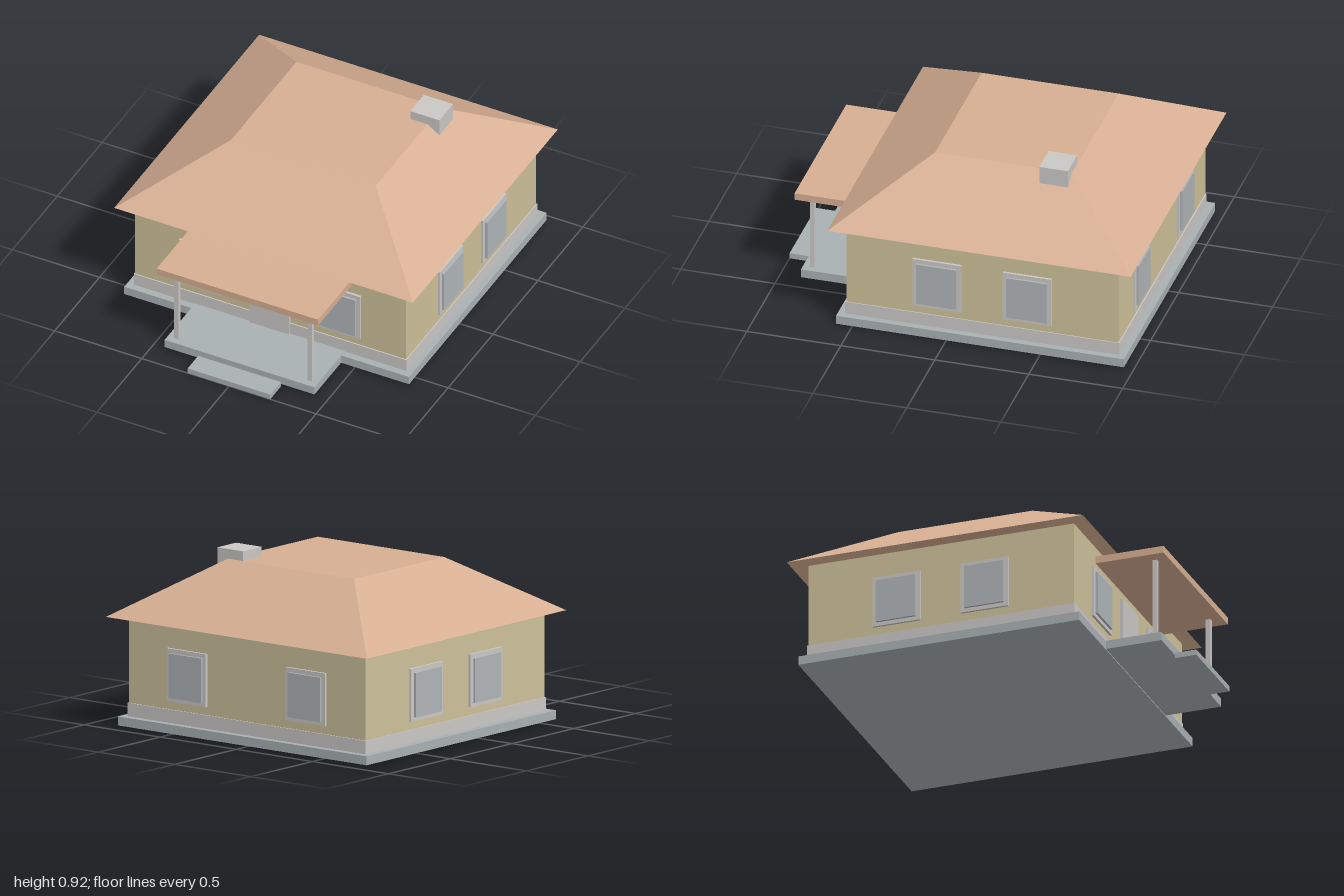
import * as THREE from 'three';

function mat(name, color, side = THREE.FrontSide) {
  const m = new THREE.MeshStandardMaterial({ color, side });
  m.name = name;
  return m;
}

export function createModel() {
  const house = new THREE.Group();
  house.name = 'house';
  const wall = mat('cream wall', 0xcdc19a);
  const tile = mat('terracotta', 0xd6ae92);
  const roofTile = mat('terracotta', 0xd6ae92, THREE.DoubleSide);
  const trim = mat('light grey trim', 0xcac8c5);
  const concrete = mat('concrete', 0xa9b0b3);
  const glass = mat('window glass', 0xafb4b8);
  const brass = mat('door knob', 0xb5714f);

  // Box given by its extents along x, y and z
  const box = (name, m, [x0, x1], [y0, y1], [z0, z1], parent = house) => {
    const mesh = new THREE.Mesh(new THREE.BoxGeometry(x1 - x0, y1 - y0, z1 - z0), m);
    mesh.position.set((x0 + x1) / 2, (y0 + y1) / 2, (z0 + z1) / 2);
    mesh.name = name;
    parent.add(mesh);
    return mesh;
  };

  // Foundation and walls
  box('foundation', concrete, [-0.817, 0.817], [0.013, 0.06], [-0.952, 0.58]);
  box('plinth', trim, [-0.782, 0.782], [0.06, 0.13], [-0.917, 0.542]);
  box('walls', wall, [-0.777, 0.777], [0.06, 0.58], [-0.911, 0.536]);

  // Hipped roof with flat top and open underside
  const ring = (x, y, z0, z1) => [[-x, y, z1], [x, y, z1], [x, y, z0], [-x, y, z0]];
  const eave = ring(0.857, 0.58, -1, 0.615);
  const deck = ring(0.415, 0.87, -0.557, 0.172);
  const pos = [];
  const quad = (a, b, c, d) => pos.push(...a, ...b, ...c, ...a, ...c, ...d);
  for (let i = 0; i < 4; i++) {
    const j = (i + 1) % 4;
    quad(eave[i], eave[j], deck[j], deck[i]);
  }
  quad(...deck);
  const roofGeo = new THREE.BufferGeometry();
  roofGeo.setAttribute('position', new THREE.Float32BufferAttribute(pos, 3));
  roofGeo.computeVertexNormals();
  const roof = new THREE.Mesh(roofGeo, roofTile);
  roof.name = 'roof';
  house.add(roof);
  box('chimney', trim, [0.318, 0.485], [0.76, 0.92], [-0.555, -0.403]);

  // Windows: a raised pane on a wider frame, facing outward
  const addWindow = (x, z, turn) => {
    const g = new THREE.Group();
    g.name = 'window';
    box('windowFrame', trim, [-0.129, 0.129], [0.173, 0.449], [-0.01, 0.013], g);
    box('windowPane', glass, [-0.107, 0.107], [0.194, 0.426], [-0.01, 0.025], g);
    g.position.set(x, 0, z);
    g.rotation.y = turn;
    house.add(g);
  };
  for (const s of [-1, 1]) {
    addWindow(s * 0.391, 0.536, 0);
    addWindow(s * 0.391, -0.911, Math.PI);
    for (const z of [0.053, -0.428]) addWindow(s * 0.777, z, s * Math.PI / 2);
  }

  // Door
  box('door', trim, [-0.113, 0.113], [0.062, 0.443], [0.52, 0.552]);
  box('doorKnob', brass, [0.045, 0.06], [0.23, 0.245], [0.55, 0.573]);

  // Porch
  box('porchFloor', concrete, [-0.43, 0.43], [0.018, 0.064], [0.53, 0.882]);
  box('porchStep', concrete, [-0.237, 0.237], [0, 0.03], [0.882, 1]);
  box('porchRoof', tile, [-0.463, 0.463], [0.492, 0.53], [0.53, 0.906]);
  for (const s of [-1, 1]) {
    const x = s * 0.383;
    box('porchPost', trim, [x - 0.0125, x + 0.0125], [0.064, 0.492], [0.82, 0.845]);
  }
  return house;
}
